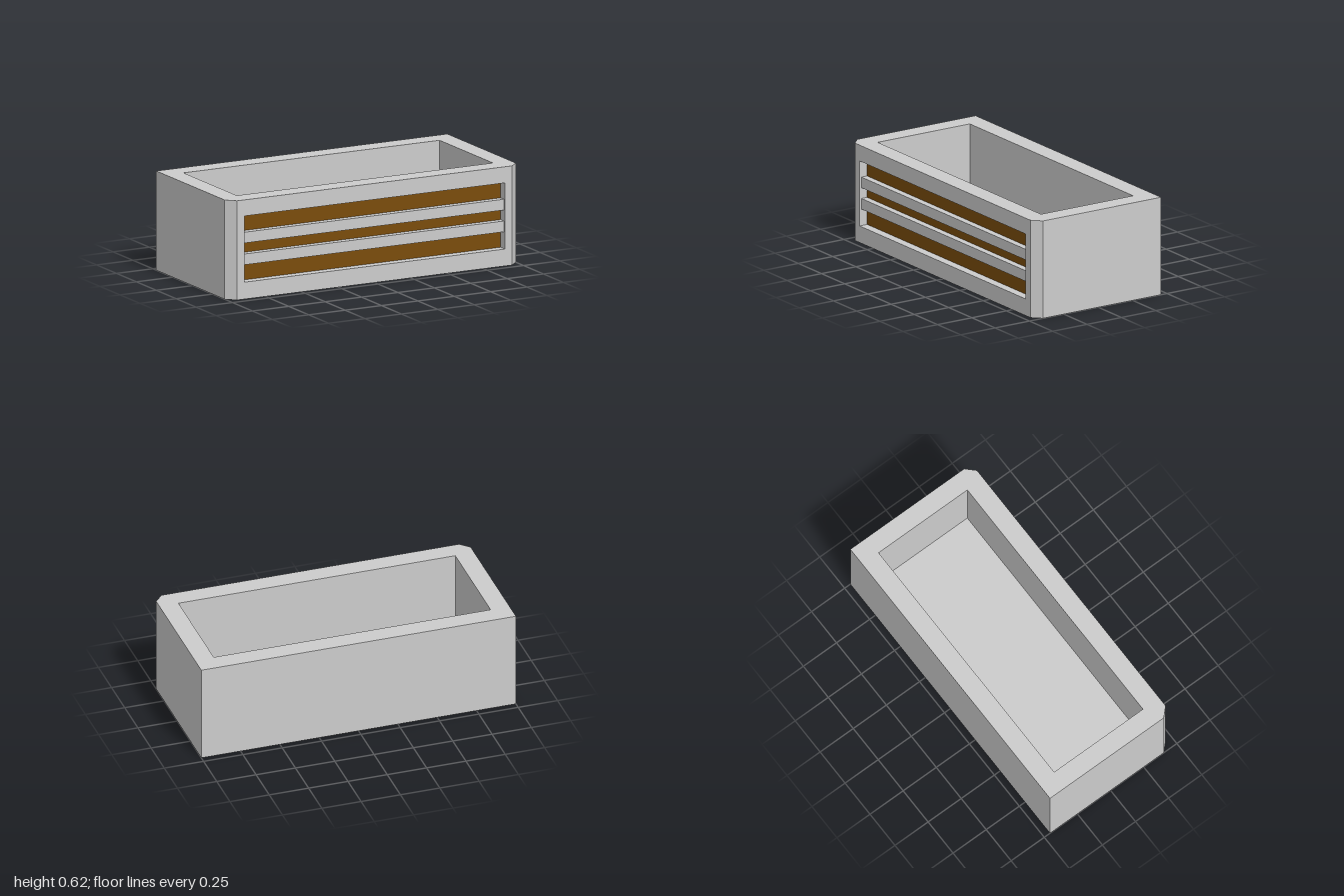
import * as THREE from 'three';
import { mergeGeometries } from 'three/addons/utils/BufferGeometryUtils.js';

const H = 0.615, D = 0.457, C = 0.055; // height, half depth, front chamfer
const FLOOR = 0.12; // cavity floor height
const RX = 0.895, R0 = 0.105, R1 = 0.515, RZ = D - 0.055; // front recess

const shapeOf = (pts) => new THREE.Shape(pts.map(([x, y]) => new THREE.Vector2(x, y)));

function quad(a, b, c, d) {
  const g = new THREE.BufferGeometry();
  g.setAttribute('position', new THREE.Float32BufferAttribute([...a, ...b, ...c, ...d], 3));
  g.setAttribute('uv', new THREE.Float32BufferAttribute([0, 0, 1, 0, 1, 1, 0, 1], 2));
  g.setIndex([0, 1, 2, 0, 2, 3]);
  g.computeVertexNormals();
  return g;
}

// Upright wall above the plan edge a-b
const wall = ([ax, az], [bx, bz], y0, y1) =>
  quad([ax, y0, az], [bx, y0, bz], [bx, y1, bz], [ax, y1, az]);

// Horizontal face from a plan outline, facing up
function deck(pts, y, hole) {
  const flip = ([x, z]) => [x, -z];
  const s = shapeOf(pts.map(flip));
  if (hole) s.holes.push(shapeOf(hole.map(flip)));
  return new THREE.ShapeGeometry(s).rotateX(-Math.PI / 2).translate(0, y, 0);
}

export function createModel() {
  const model = new THREE.Group();
  model.name = 'planterBox';
  const stone = new THREE.MeshStandardMaterial({ color: 0xcccccc });
  stone.name = 'light grey';
  const wood = new THREE.MeshStandardMaterial({ color: 0x7a4c0c });
  wood.name = 'brown';

  const add = (name, geometry, material) => {
    const mesh = new THREE.Mesh(geometry, material);
    mesh.name = name;
    model.add(mesh);
    return mesh;
  };

  const outline = [[-1 + C, D], [1 - C, D], [1, D - C], [1, -D], [-1, -D], [-1, D - C]];
  const cavity = [[-0.88, 0.335], [-0.88, -0.335], [0.88, -0.335], [0.88, 0.335]];
  const opening = [[-RX, R0], [-RX, R1], [RX, R1], [RX, R0]];

  // Outer shell: sides, rim, underside and front face with its opening
  const shell = [];
  for (let i = 1; i < outline.length; i++) {
    shell.push(wall(outline[i], outline[(i + 1) % outline.length], 0, H));
  }
  shell.push(deck(outline, H, cavity));
  shell.push(new THREE.ShapeGeometry(shapeOf(outline)).rotateX(Math.PI / 2));
  const front = shapeOf([[-1 + C, 0], [1 - C, 0], [1 - C, H], [-1 + C, H]]);
  front.holes.push(shapeOf(opening));
  shell.push(new THREE.ShapeGeometry(front).translate(0, 0, D));
  add('outerShell', mergeGeometries(shell), stone);

  // Inside of the open box
  const inside = cavity.map((p, i) => wall(p, cavity[(i + 1) % 4], FLOOR, H));
  inside.push(deck(cavity, FLOOR));
  add('cavity', mergeGeometries(inside), stone);

  // Edges of the front recess
  const edges = opening.map((p, i) => {
    const q = opening[(i + 1) % 4];
    return quad([...p, RZ], [...q, RZ], [...q, D], [...p, D]);
  });
  add('recessEdges', mergeGeometries(edges), stone);

  // Back panel of the recess
  const panel = add('recessPanel', new THREE.PlaneGeometry(2 * RX, R1 - R0), wood);
  panel.position.set(0, (R0 + R1) / 2, RZ);

  // Two slats set slightly behind the front face
  for (const y of [0.2425, 0.3775]) {
    const depth = D - 0.013 - RZ;
    const slat = add('slat', new THREE.BoxGeometry(2 * RX, 0.067, depth), stone);
    slat.position.set(0, y, RZ + depth / 2);
  }
  return model;
}
